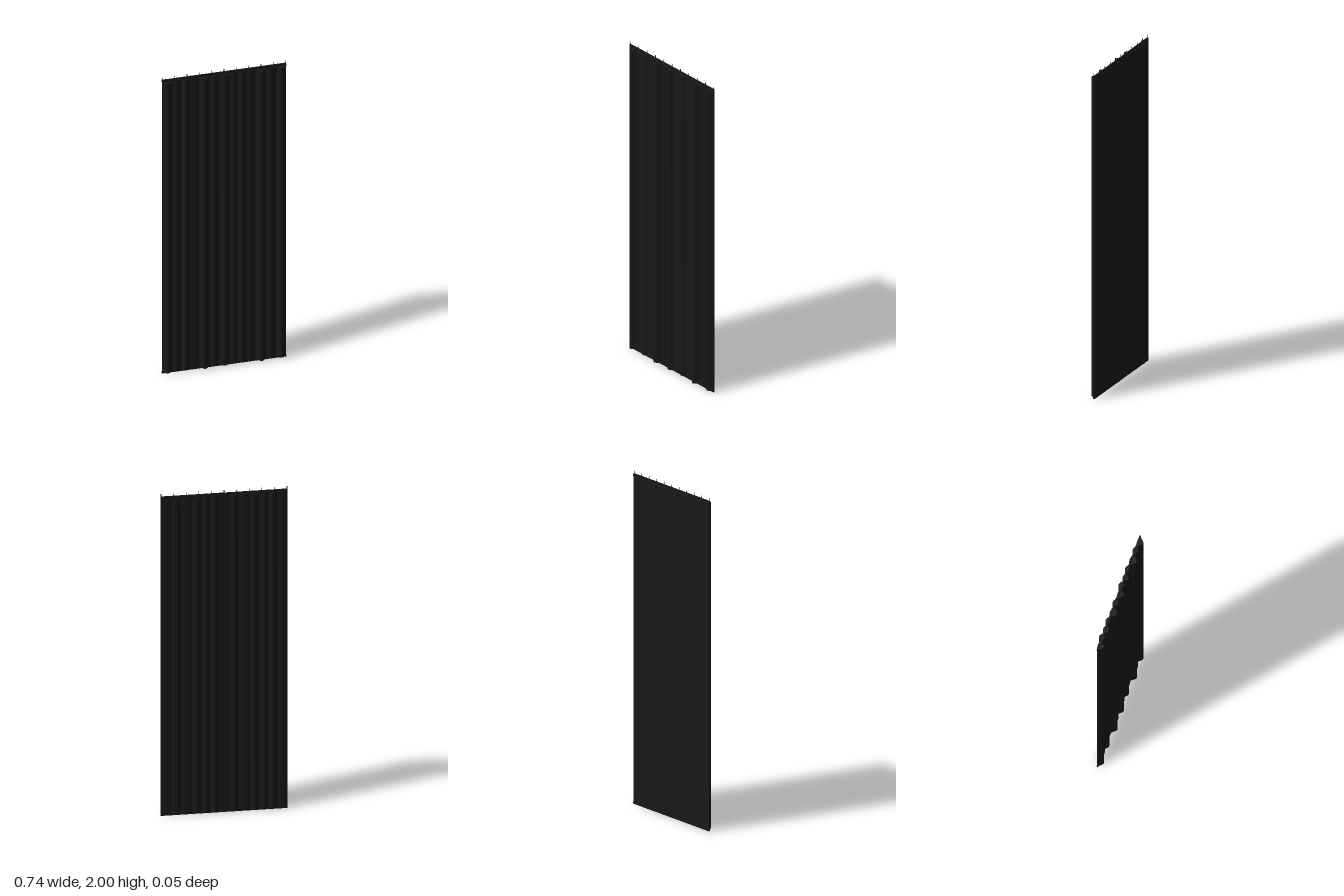
import * as THREE from 'three';
import { toCreasedNormals } from 'three/addons/utils/BufferGeometryUtils.js';

const cloth = new THREE.MeshStandardMaterial({ color: 0x181818 });

// Each fold: [right edge x, back z, front z]
const START = -0.372;
const FOLDS = [
  [-0.31, -0.017, 0.021], [-0.26, -0.028, 0.005], [-0.205, -0.021, 0.015],
  [-0.152, -0.026, -0.002], [-0.088, -0.019, 0.026], [-0.031, -0.024, 0.009],
  [0.031, -0.016, 0.022], [0.08, -0.028, 0.005], [0.132, -0.021, 0.015],
  [0.187, -0.026, 0.0], [0.252, -0.019, 0.026], [0.31, -0.023, 0.009],
  [0.372, -0.016, 0.021],
];
const BACK = -0.012, FRONT = -0.004, STEPS = 14;

// Samples one side of the pleated outline, from left to right in x
function pleatLine(rest, column, sharpness) {
  const points = [];
  let x0 = START;
  for (const fold of FOLDS) {
    for (let i = 0; i < STEPS; i++) {
      const t = i / STEPS;
      const bulge = Math.sin(Math.PI * t) ** sharpness;
      const z = rest + (fold[column] - rest) * bulge;
      points.push(new THREE.Vector2(x0 + (fold[0] - x0) * t, -z));
    }
    x0 = fold[0];
  }
  points.push(new THREE.Vector2(x0, -rest));
  return points;
}

function mesh(name, geometry, x, y, z) {
  const m = new THREE.Mesh(geometry, cloth);
  m.name = name;
  m.position.set(x, y, z);
  return m;
}

export function createModel() {
  const group = new THREE.Group();
  group.name = 'curtain';

  // Pleated cloth, its outline extruded upwards
  const front = pleatLine(FRONT, 2, 1.4);
  const back = pleatLine(BACK, 1, 1.1).reverse();
  const outline = new THREE.Shape([...front, ...back]);
  let geometry = new THREE.ExtrudeGeometry(outline, { depth: 1.96, bevelEnabled: false });
  geometry.rotateX(-Math.PI / 2);
  geometry = toCreasedNormals(geometry, 0.6);
  group.add(mesh('pleatedCloth', geometry, 0, 0.01, 0));

  // Straight bands along the top and bottom
  group.add(mesh('headerBand', new THREE.BoxGeometry(0.744, 0.016, 0.009), 0, 1.976, -0.008));
  group.add(mesh('bottomHem', new THREE.BoxGeometry(0.744, 0.012, 0.009), 0, 0.006, -0.008));

  // Row of thin hanging pins
  const pin = new THREE.CylinderGeometry(0.0018, 0.0018, 0.04, 8);
  for (let i = 0; i < 11; i++) {
    group.add(mesh('hangingPin', pin, -0.37 + i * 0.074, 1.98, -0.008));
  }
  return group;
}
